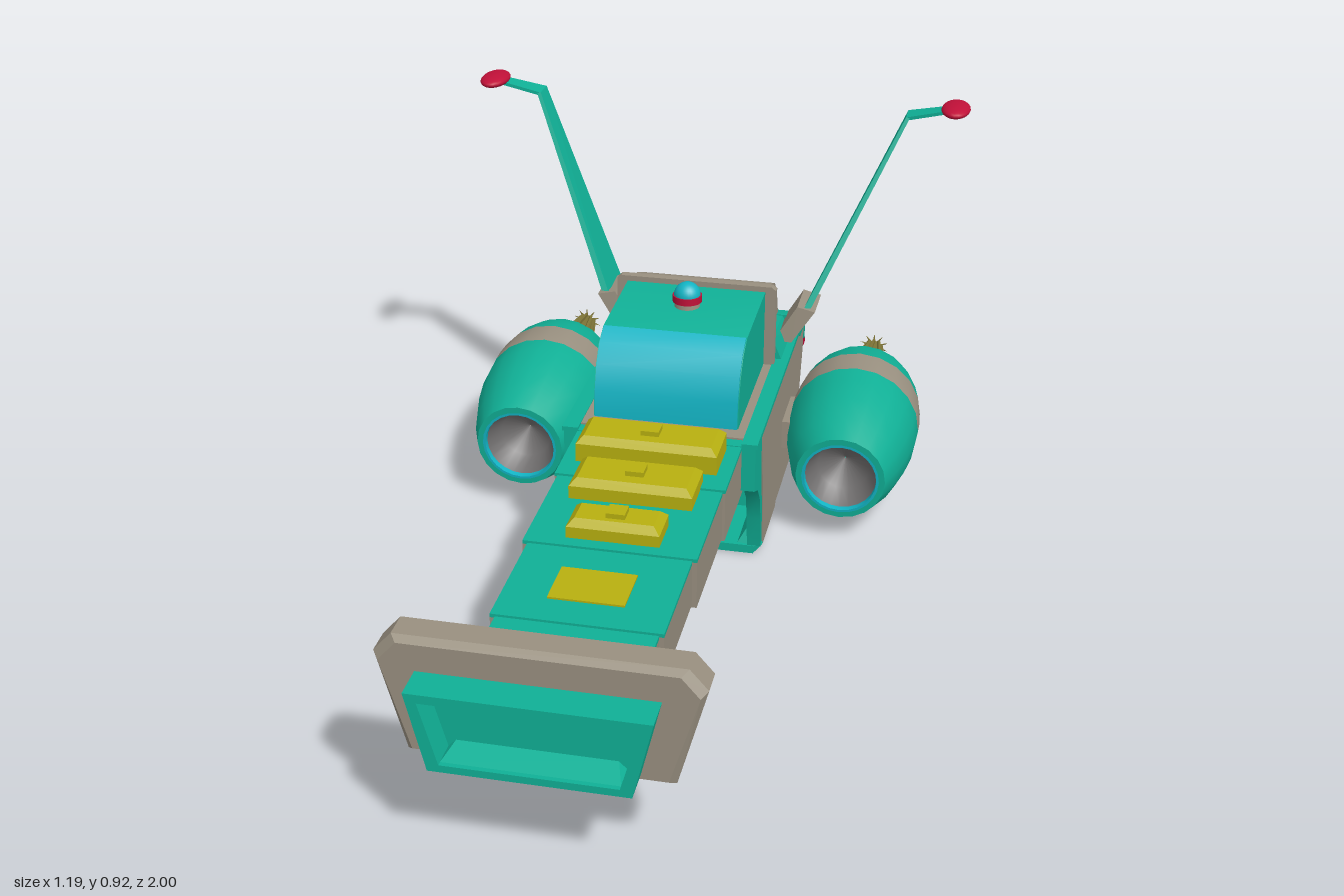
import * as THREE from 'three';
import { toCreasedNormals } from 'three/addons/utils/BufferGeometryUtils.js';
import { ConvexGeometry } from 'three/addons/geometries/ConvexGeometry.js';

const mat = (color) => new THREE.MeshStandardMaterial({ color, side: THREE.DoubleSide });
const TEAL = mat(0x10b096), TAUPE = mat(0x999080), YELLOW = mat(0xb8b010), OLIVE = mat(0x807638),
  RED = mat(0xc01038), CYAN = mat(0x12b4c4), DARK = mat(0x706e6e);

export function createModel() {
  const model = new THREE.Group();

  const add = (name, geo, material, parent = model) => {
    const mesh = new THREE.Mesh(geo, material);
    mesh.name = name;
    parent.add(mesh);
    return mesh;
  };
  // Box given by its limits
  const box = (name, m, x0, x1, y0, y1, z0, z1, parent) => {
    const b = add(name, new THREE.BoxGeometry(x1 - x0, y1 - y0, z1 - z0), m, parent);
    b.position.set((x0 + x1) / 2, (y0 + y1) / 2, (z0 + z1) / 2);
    return b;
  };
  // Convex solid around corner points
  const hull = (name, m, pts, parent) =>
    add(name, new ConvexGeometry(pts.map((p) => new THREE.Vector3(...p))), m, parent);
  // Points repeated on both sides of x = 0
  const both = (pts) => pts.flatMap(([x, y, z]) => [[x, y, z], [-x, y, z]]);
  const shapeOf = (pts) => new THREE.Shape(pts.map((p) => new THREE.Vector2(...p)));
  // Side profile [z, y] extruded from x0 to x1
  const sideExtrude = (name, m, pts, x0, x1, parent) => {
    const g = new THREE.ExtrudeGeometry(shapeOf(pts), { depth: x1 - x0, bevelEnabled: false });
    g.rotateY(-Math.PI / 2).translate(x1, 0, 0);
    return add(name, toCreasedNormals(g, 0.6), m, parent);
  };
  // Front profile [x, y] extruded from z0 to z1
  const frontExtrude = (name, m, pts, hole, z0, z1) => {
    const s = shapeOf(pts);
    if (hole) s.holes.push(shapeOf(hole));
    const g = new THREE.ExtrudeGeometry(s, { depth: z1 - z0, bevelEnabled: false });
    return add(name, g.translate(0, 0, z0), m);
  };
  // Profile [radius, distance] turned about an axis running backwards
  const turned = (name, m, pts, parent, n = 24) => {
    const g = new THREE.LatheGeometry(pts.map((p) => new THREE.Vector2(...p)), n);
    return add(name, toCreasedNormals(g.rotateX(-Math.PI / 2), 0.6), m, parent);
  };
  const trapezoid = (top, y1, bottom, y0) => [[-bottom, y0], [bottom, y0], [top, y1], [-top, y1]];

  // Nose: grey bumper with a hollow scoop
  const bumper = [[0.25, 0.19], [0.305, 0.395], [0.27, 0.435]];
  hull('noseBumper', TAUPE, both(bumper.flatMap(([x, y]) => [
    [x, y, 0.86], [x, y, 0.915], [x - 0.012, y + (y < 0.3 ? 0.01 : -0.01), 0.93]])));
  const opening = trapezoid(0.2, 0.352, 0.165, 0.225);
  frontExtrude('noseScoop', TEAL, trapezoid(0.225, 0.37, 0.187, 0.21), opening, 0.92, 1);
  frontExtrude('noseScoopBack', TEAL, opening, null, 0.92, 0.94);
  hull('noseScoopLedge', TEAL, both([[0.165, 0.225, 0.94], [0.165, 0.225, 0.99], [0.15, 0.24, 0.94]]));

  // Neck in widening steps, teal on top
  [[0.65, 0.87, 0.16, 0.225, 0.318], [0.38, 0.65, 0.17, 0.22, 0.323],
    [0.1, 0.38, 0.18, 0.215, 0.328], [-0.13, 0.1, 0.186, 0.21, 0.333]]
    .forEach(([z0, z1, w, y0, y1]) => {
      box('neckSection', TAUPE, -w, w, y0, y1 - 0.008, z0, z1);
      box('neckTop', TEAL, -w, w, y1 - 0.008, y1, z0, z1);
    });

  // Yellow chamfered boxes with a small knob
  [[-0.022, 0.06, 0.155, 0.39], [0.13, 0.062, 0.132, 0.372], [0.305, 0.046, 0.097, 0.368]]
    .forEach(([z, d, w, y]) => {
      hull('neckBox', YELLOW, both([
        [w, 0.32, z - d], [w, 0.32, z + d], [w, y - 0.015, z - d], [w, y - 0.015, z + d],
        [w - 0.015, y, z - d + 0.015], [w - 0.015, y, z + d - 0.015]]));
      box('boxKnob', YELLOW, -0.02, 0.02, y, y + 0.011, z - 0.02, z + 0.02);
    });
  box('neckPlate', YELLOW, -0.077, 0.077, 0.318, 0.327, 0.46, 0.575);

  // Hull: solid rear, hollow front with a curved lip
  hull('rearHull', TAUPE, both([
    [0.22, 0.335, -0.4], [0.22, 0.03, -0.4], [0.2, 0.004, -0.4],
    [0.22, 0.335, -0.82], [0.22, 0.03, -0.72], [0.2, 0.004, -0.74],
    [0.215, 0.25, -0.85], [0.16, 0.1, -0.925], [0.13, 0.02, -0.935]]));
  hull('hullBottom', TEAL, both([[0.2, 0, -0.21], [0.2, 0.02, -0.21], [0.2, 0, -0.74],
    [0.2, 0.01, -0.74], [0.125, 0.014, -0.93]]));
  const lip = [[-0.1, 0.335], [-0.1, 0.225], [-0.145, 0.205], [-0.18, 0.165], [-0.2, 0.1], [-0.212, 0.02]];
  hull('hullRoof', TEAL, both([[0.21, 0.335, -0.1], [0.21, 0.225, -0.1], [0.21, 0.2, -0.16],
    [0.21, 0.2, -0.41], [0.21, 0.335, -0.41]]));
  for (const s of [-1, 1]) {
    const side = new THREE.Group();
    side.name = 'hullSide';
    side.scale.x = s;
    model.add(side);
    sideExtrude('hullLip', TEAL, [...lip, [-0.41, 0.02], [-0.41, 0.335]], 0.185, 0.217, side);
    sideExtrude('hullSidePlate', TAUPE, [[-0.19, 0.335], [-0.19, 0.24], [-0.205, 0.18],
      [-0.22, 0.1], [-0.225, 0.02], [-0.41, 0.02], [-0.41, 0.335]], 0.21, 0.22, side);
    hull('hullCorner', TEAL, [[0.22, 0.025, -0.212], [0.2, 0, -0.212], [0.15, 0, -0.212],
      [0.22, 0.025, -0.41], [0.2, 0, -0.41], [0.15, 0, -0.41],
      [0.185, 0.06, -0.24], [0.185, 0.06, -0.41]], side);
    // Teal trim, shoulder and red stripe
    box('deckEdge', TEAL, 0.185, 0.221, 0.33, 0.341, -0.82, -0.1, side);
    hull('shoulder', TEAL, [[0.15, 0.335, -0.55], [0.205, 0.335, -0.55], [0.15, 0.395, -0.55],
      [0.18, 0.395, -0.55], [0.15, 0.335, -0.75], [0.205, 0.335, -0.75], [0.15, 0.38, -0.75],
      [0.18, 0.38, -0.75]], side);
    hull('redStripe', RED, [[0.1, 0.235, -0.862], [0.1, 0.25, -0.858], [0.218, 0.25, -0.835],
      [0.218, 0.27, -0.835], [0.218, 0.25, -0.862], [0.218, 0.265, -0.857]], side);
  }
  box('innerWall', TEAL, -0.19, 0.19, 0.01, 0.21, -0.41, -0.395);
  box('deck', TAUPE, -0.19, 0.19, 0.325, 0.339, -0.75, -0.13);

  // Engine in the front opening with three balls
  const cowl = [[-0.1, 0.03], [0.1, 0.03], [0.13, 0.07], [0.15, 0.15], [0.14, 0.2], [-0.14, 0.2], [-0.15, 0.15], [-0.13, 0.07]];
  frontExtrude('engineCowl', DARK, cowl, cowl.map(([x, y]) => [x * 0.7, 0.115 + (y - 0.115) * 0.75]), -0.39, -0.23);
  frontExtrude('engineBack', DARK, cowl, null, -0.39, -0.29);
  [[-0.035, 0.134], [0.024, 0.134], [-0.008, 0.088]].forEach(([x, y]) =>
    add('engineBall', new THREE.SphereGeometry(0.029, 16, 12), DARK).position.set(x, y, -0.265));

  // Cabin with curved windshield, frame and rear hood
  const front = [[-0.172, 0.335], [-0.176, 0.4], [-0.195, 0.455], [-0.225, 0.495], [-0.27, 0.518]];
  sideExtrude('cabin', TEAL, [...front, [-0.52, 0.525], [-0.52, 0.335]], -0.165, 0.165);
  sideExtrude('windshield', CYAN, [...front.map(([z, y]) => [z + 0.004, y + 0.003]),
    ...front.map(([z, y]) => [z - 0.006, y - 0.006]).reverse()], -0.163, 0.163);
  hull('cabinFrame', TAUPE, both([-0.518, -0.538].flatMap((z) => [
    [0.19, 0.335, z], [0.19, 0.53, z], [0.18, 0.538, z]])));
  sideExtrude('rearHood', TAUPE, [[-0.53, 0.335], [-0.53, 0.512], [-0.62, 0.505], [-0.67, 0.485],
    [-0.705, 0.45], [-0.73, 0.39], [-0.735, 0.335]], -0.165, 0.165);
  const ring = add('domeRing', new THREE.CylinderGeometry(0.034, 0.034, 0.016, 24), RED);
  ring.position.set(0, 0.542, -0.412);
  const neck = add('domeBase', new THREE.CylinderGeometry(0.028, 0.03, 0.02, 24), TAUPE);
  neck.position.set(0, 0.528, -0.412);
  const dome = add('dome', new THREE.SphereGeometry(0.031, 24, 10, 0, Math.PI * 2, 0, Math.PI / 2), CYAN);
  dome.position.set(0, 0.549, -0.412);

  // Tail deck, rear panel, bar and dish
  sideExtrude('tailDeck', TEAL, [[-0.71, 0.33], [-0.71, 0.385], [-0.75, 0.38], [-0.835, 0.335],
    [-0.862, 0.258], [-0.84, 0.25], [-0.8, 0.3]], -0.19, 0.19);
  hull('rearPanel', TEAL, both([[0.221, 0.339, -0.7], [0.221, 0.339, -0.828], [0.218, 0.262, -0.852],
    [0.218, 0.3, -0.8]]));
  box('rearBar', TEAL, -0.15, 0.15, 0.275, 0.305, -0.876, -0.83);
  const dish = turned('rearDish', TEAL, [[0.06, -0.03], [0.075, 0], [0.095, 0.018], [0.088, 0.028],
    [0.06, 0.008], [0.045, 0.008], [0.042, 0.024], [0.03, 0.026], [0.025, 0.01], [0.001, 0.01]], model, 28);
  dish.position.set(0, 0.172, -0.89);
  dish.rotation.x = 0.42;

  // Pods and antenna fins, mirrored
  for (const s of [-1, 1]) {
    const side = new THREE.Group();
    side.name = s > 0 ? 'leftSide' : 'rightSide';
    side.scale.x = s;
    model.add(side);

    const pod = new THREE.Group();
    pod.name = 'enginePod';
    pod.position.set(0.383, 0.166, -0.308);
    pod.rotation.x = 0.045;
    side.add(pod);
    turned('podIntake', DARK, [[0.001, 0.1], [0.06, 0.06], [0.084, 0.01]], pod);
    turned('podRim', CYAN, [[0.083, 0.012], [0.084, -0.002], [0.09, -0.002]], pod);
    turned('podFront', TEAL, [[0.088, 0], [0.104, 0], [0.126, 0.06], [0.143, 0.13], [0.153, 0.2], [0.155, 0.255]], pod, 20);
    turned('podBand', TAUPE, [[0.155, 0.255], [0.155, 0.29], [0.151, 0.34]], pod, 20);
    turned('podRear', TEAL, [[0.151, 0.34], [0.139, 0.395], [0.122, 0.438], [0.08, 0.443]], pod, 20);
    turned('podCollar', OLIVE, [[0.1, 0.43], [0.1, 0.445], [0.088, 0.468], [0.062, 0.482], [0.04, 0.484]], pod);
    turned('podSpike', OLIVE, [[0.052, 0.47], [0.017, 0.675], [0.008, 0.69], [0.001, 0.691]], pod, 12);
    for (let i = 0; i < 10; i++) {
      const rib = new THREE.Group();
      rib.name = 'spikeRib';
      rib.rotation.z = (i / 10) * Math.PI * 2;
      pod.add(rib);
      hull('rib', OLIVE, [-0.003, 0.003].flatMap((x) => [[x, 0.04, -0.475], [x, 0.06, -0.475],
        [x, 0.012, -0.67], [x, 0.024, -0.67]]), rib);
      const thorn = add('tipThorn', new THREE.ConeGeometry(0.005, 0.03, 5), OLIVE, rib);
      thorn.position.set(0, 0.022, -0.675);
    }
    box('podStrut', TAUPE, 0.2, 0.27, 0.14, 0.21, -0.62, -0.48, side);

    hull('finMount', TAUPE, [[0.17, 0.35, -0.63], [0.215, 0.35, -0.63], [0.17, 0.35, -0.74], [0.215, 0.35, -0.74],
      [0.225, 0.44, -0.64], [0.268, 0.43, -0.64], [0.225, 0.44, -0.75], [0.268, 0.43, -0.75]], side);
    hull('antennaFin', TEAL, [-0.008, 0.008].flatMap((d) => [[0.25 + d, 0.44, -0.638], [0.25 + d, 0.425, -0.778],
      [0.45 + d * 0.6, 0.88, -0.8], [0.45 + d * 0.6, 0.88, -0.856]]), side);
    hull('antennaArm', TEAL, [-0.004, 0.004].flatMap((d) => [[0.447, 0.876 + d, -0.8], [0.447, 0.876 + d, -0.856],
      [0.55, 0.903 + d, -0.79], [0.55, 0.903 + d, -0.83]]), side);
    const tip = add('antennaTip', new THREE.SphereGeometry(1, 20, 12), RED, side);
    tip.scale.set(0.034, 0.014, 0.062);
    tip.position.set(0.56, 0.906, -0.805);
  }
  return model;
}
